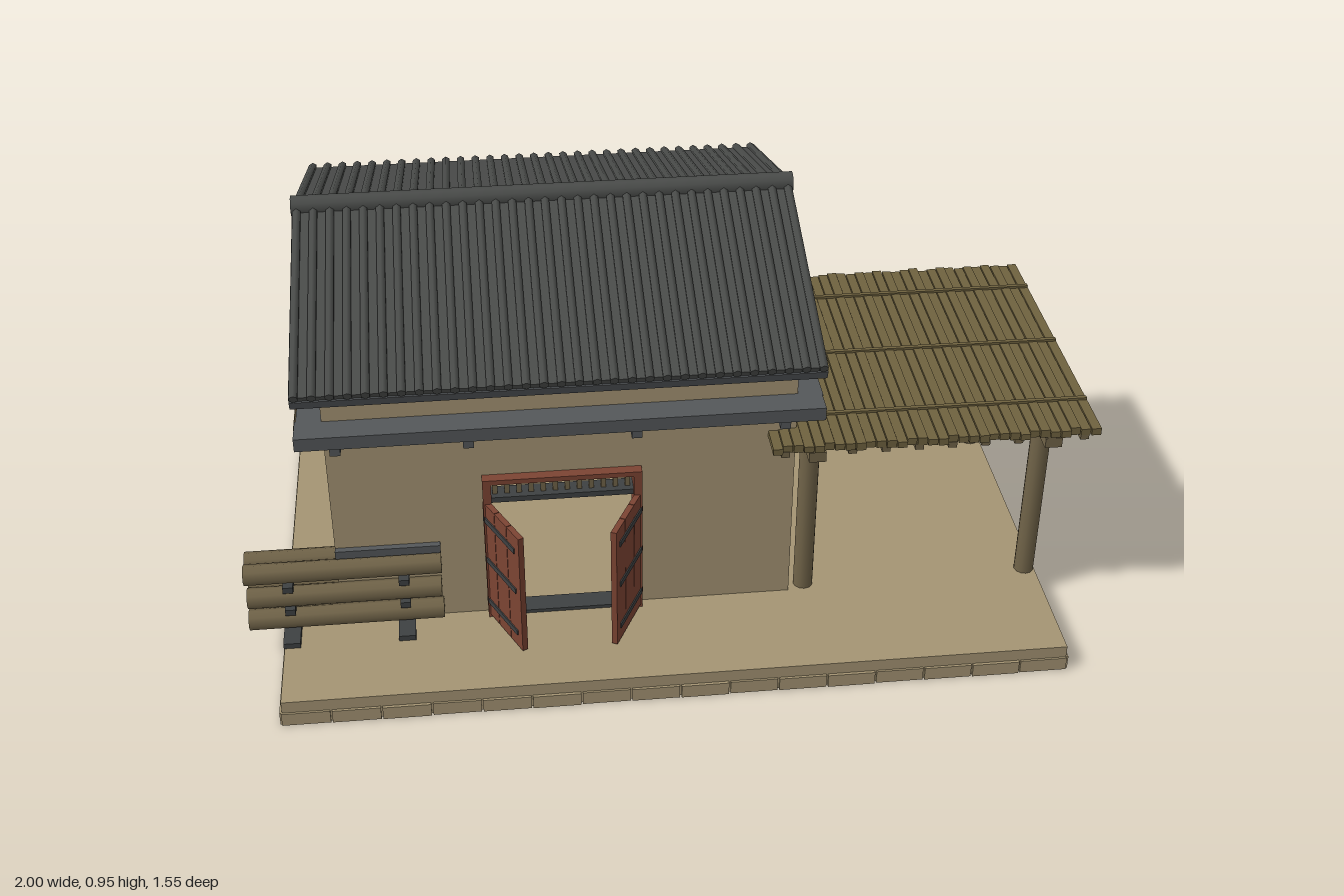
import * as THREE from 'three';

const mat = (name, color, extra = {}) => Object.assign(new THREE.MeshStandardMaterial({ color, ...extra }), { name });

export function createModel() {
  const root = new THREE.Group();
  root.name = 'storehouse';
  const plaster = mat('plaster', 0xa49473);
  const tile = mat('roofTile', 0x4a4c4a);
  const stone = mat('greyTrim', 0x54575a);
  const timber = mat('timber', 0x716449);
  const thatch = mat('awningWood', 0x6f623f);
  const red = mat('redWood', 0x7c4433);
  const iron = mat('iron', 0x3e4142);
  const ember = mat('ember', 0xcc561c);

  const group = (name, parent = root) => {
    const g = new THREE.Group();
    g.name = name;
    parent.add(g);
    return g;
  };
  const add = (parent, name, geo, m, x = 0, y = 0, z = 0) => {
    const mesh = new THREE.Mesh(geo, m);
    mesh.name = name;
    mesh.position.set(x, y, z);
    parent.add(mesh);
    return mesh;
  };
  // box given by its limits on each axis
  const box = (parent, name, m, x0, x1, y0, y1, z0, z1) =>
    add(parent, name, new THREE.BoxGeometry(x1 - x0, y1 - y0, z1 - z0), m, (x0 + x1) / 2, (y0 + y1) / 2, (z0 + z1) / 2);
  const rod = (parent, name, m, r, len, axis, x, y, z, sides = 8) => {
    const geo = new THREE.CylinderGeometry(r, r, len, sides);
    if (axis === 'x') geo.rotateZ(Math.PI / 2);
    if (axis === 'z') geo.rotateX(Math.PI / 2);
    return add(parent, name, geo, m, x, y, z);
  };
  const shape = pts => new THREE.Shape(pts.map(p => new THREE.Vector2(...p)));

  // Platform with a course of edge stones
  const base = group('platform');
  box(base, 'platformSlab', plaster, -0.918, 0.915, 0.001, 0.065, -0.765, 0.765);
  for (let i = 0; i < 16; i++) {
    const x = -0.92 + i * 0.115, d = 0.77 + (i % 3) * 0.001;
    for (const s of [-1, 1]) box(base, 'edgeStone', plaster, x, x + 0.111, 0, 0.034, s * d - 0.01, s * d);
  }
  for (let i = 0; i < 13; i++) {
    const z = -0.765 + i * 0.118;
    for (const s of [-0.917, 0.914]) box(base, 'edgeStone', plaster, s - 0.007, s + 0.007, 0, 0.034, z, z + 0.114);
  }

  // Hollow walls with a doorway and gables
  const house = group('house');
  const L = -0.785, R = 0.295, D = 0.49, F = 0.065, cx = (L + R) / 2;
  const front = shape([[L, F], [-0.435, F], [-0.435, 0.465], [-0.065, 0.465], [-0.065, F], [R, F], [R, 0.745], [L, 0.745]]);
  add(house, 'frontWall', new THREE.ExtrudeGeometry(front, { depth: 0.03, bevelEnabled: false }), plaster, 0, 0, D - 0.03);
  box(house, 'backWall', plaster, L, R, F, 0.745, -D, -D + 0.03);
  const gable = shape([[-D, F], [D, F], [D, 0.745], [0, 0.907], [-D, 0.745]]);
  for (const x of [L, R - 0.03]) {
    const geo = new THREE.ExtrudeGeometry(gable, { depth: 0.03, bevelEnabled: false });
    geo.rotateY(Math.PI / 2);
    add(house, 'gableWall', geo, plaster, x);
  }

  // Ledge around the walls, on brackets
  const ledge = group('ledge');
  for (const s of [-1, 1]) {
    box(ledge, 'longLedge', stone, -0.845, 0.35, 0.61, 0.643, s * 0.52 - 0.035, s * 0.52 + 0.035);
    for (const x of [-0.757, -0.46, -0.08, 0.26])
      box(ledge, 'bracket', stone, x - 0.012, x + 0.012, 0.585, 0.612, s * 0.515 - 0.03, s * 0.515 + 0.03);
    box(ledge, 'sideLedge', stone, cx + s * 0.567 - 0.03, cx + s * 0.567 + 0.03, 0.61, 0.643, -0.5, 0.5);
  }

  // Tiled roof, one group per slope
  const roof = group('roof');
  const mid = -0.2475, half = 0.5975;
  for (const s of [0, 1]) {
    const side = group(s ? 'backSlope' : 'frontSlope', roof);
    side.position.set(mid, 0.93, 0);
    side.rotation.set(0.318, s * Math.PI, 0, 'YXZ');
    box(side, 'tileBed', tile, -half, half, -0.02, 0, 0, 0.578);
    box(side, 'roofLining', red, -half + 0.015, half - 0.015, -0.03, -0.02, 0, 0.565);
    for (let i = 0; i < 31; i++)
      rod(side, 'tileRib', tile, 0.011, 0.583, 'z', -half + 0.011 + i * (2 * half - 0.022) / 30, 0.001, 0.2915, 6);
    box(side, 'eaveBoard', stone, -half, half, -0.034, -0.012, 0.555, 0.582);
    for (const e of [-1, 1]) box(side, 'vergeBoard', stone, e * (half - 0.008) - 0.008, e * (half - 0.008) + 0.008, -0.032, -0.01, 0, 0.578);
    for (const z of [0.18, 0.37, 0.53]) rod(side, 'purlin', timber, 0.014, 2 * half - 0.04, 'x', 0, -0.04, z);
    for (const x of [-0.51, -0.21, 0.17, 0.5]) box(side, 'rafterEnd', timber, x - 0.012, x + 0.012, -0.05, -0.025, 0.47, 0.55);
  }
  rod(roof, 'ridgePole', timber, 0.016, 1.15, 'x', mid, 0.895, 0);
  rod(roof, 'ridgeCap', tile, 0.025, 1.2, 'x', mid, 0.93, 0, 10);

  // Door frame, lattice and open leaves
  const door = group('doorway');
  for (const x of [-0.435, -0.085]) box(door, 'doorPost', red, x, x + 0.02, F, 0.465, 0.455, 0.515);
  box(door, 'lintel', red, -0.435, -0.065, 0.455, 0.468, 0.455, 0.515);
  box(door, 'transom', iron, -0.415, -0.085, 0.402, 0.416, 0.465, 0.51);
  box(door, 'sill', iron, -0.415, -0.085, F, 0.074, 0.46, 0.51);
  for (let i = 0; i < 12; i++) box(door, 'latticeBar', timber, -0.412 + i * 0.028, -0.4 + i * 0.028, 0.416, 0.455, 0.48, 0.495);
  for (const s of [-1, 1]) {
    const leaf = group(s > 0 ? 'leftDoorLeaf' : 'rightDoorLeaf', door);
    leaf.position.set(s > 0 ? -0.07 : -0.43, 0, 0.5);
    leaf.rotation.y = -s * 0.46;
    for (let i = 0; i < 3; i++) box(leaf, 'doorPlank', red, -0.007, 0.007, 0.073, 0.402, i * 0.057, i * 0.057 + 0.055);
    for (const y of [0.115, 0.24, 0.357]) box(leaf, 'hingeStrap', iron, -0.01, 0.01, y - 0.007, y + 0.007, 0.005, 0.15);
  }

  // Open awning on four posts
  const awning = group('awning');
  for (const x of [0.335, 0.89]) {
    for (const z of [0.465, -0.09]) {
      rod(awning, 'post', timber, 0.024, 0.435, 'y', x, 0.2825, z, 12);
      rod(awning, 'postCapital', timber, 0.028, 0.018, 'y', x, 0.488, z, 12);
    }
    box(awning, 'crossBeam', timber, x - 0.02, x + 0.02, 0.497, 0.523, -0.19, 0.56);
  }
  for (const z of [0.465, -0.09]) box(awning, 'longBeam', timber, 0.3, 0.995, 0.5, 0.524, z - 0.02, z + 0.02);
  for (let i = 0; i < 10; i++) box(awning, 'joist', timber, 0.25 + i * 0.078, 0.27 + i * 0.078, 0.515, 0.53, -0.195, 0.56);
  for (let i = 0; i < 32; i++) {
    const x = 0.23 + i * 0.77 / 32, h = 0.544 + (i % 3) * 0.002, e = (i * 7 % 4) * 0.003;
    box(awning, 'slat', thatch, x, x + 0.0225, 0.528, h, -0.2 + e, 0.567 - e);
  }
  for (const z of [-0.08, 0.18, 0.44]) box(awning, 'batten', thatch, 0.232, 0.998, 0.546, 0.552, z - 0.005, z + 0.005);

  // Cart with a tilted arm
  const cart = group('cart');
  cart.position.set(0.557, 0, -0.405);
  cart.rotation.y = 0.51;
  box(cart, 'cartBed', timber, -0.185, 0.185, 0.132, 0.142, -0.1, 0.1);
  box(cart, 'cartDeck', timber, -0.175, 0.175, 0.142, 0.2, -0.09, 0.09);
  for (const s of [-1, 1]) {
    box(cart, 'sideBoard', timber, -0.185, 0.185, 0.135, 0.21, s * 0.095 - 0.008, s * 0.095 + 0.008);
    rod(cart, 'wheel', iron, 0.037, 0.022, 'z', 0.115, 0.102, s * 0.095, 14);
    rod(cart, 'hub', stone, 0.013, 0.03, 'z', 0.115, 0.102, s * 0.095, 8);
    box(cart, 'bracketBlock', iron, -0.035, 0.035, 0.2, 0.235, s * 0.032 - 0.01, s * 0.032 + 0.01);
  }
  rod(cart, 'axle', timber, 0.009, 0.2, 'z', 0.115, 0.102, 0);
  box(cart, 'frontSupport', iron, -0.17, -0.1, F, 0.135, -0.035, 0.035);
  box(cart, 'windlassBar', stone, -0.012, 0.012, 0.225, 0.24, -0.06, 0.06);
  const arm = add(cart, 'arm', new THREE.BoxGeometry(0.48, 0.022, 0.034), timber, 0, 0.252, 0);
  arm.rotation.z = 0.25;

  // Stack of logs beside the door
  const logs = group('logStack');
  for (const [j, y] of [0.102, 0.167, 0.237].entries())
    for (const z of [0.462, 0.51])
      rod(logs, 'log', timber, 0.025, 0.455 + (j === 1 ? 0 : 0.005), 'x', -0.77, y, z, 8);
  for (const x of [-0.9, -0.63]) {
    box(logs, 'skid', iron, x - 0.02, x + 0.02, F, 0.079, 0.43, 0.58);
    for (const y of [0.135, 0.202]) box(logs, 'spacer', iron, x - 0.012, x + 0.012, y - 0.008, y + 0.008, 0.435, 0.535);
  }
  box(logs, 'topBar', stone, -0.785, -0.54, 0.262, 0.283, 0.485, 0.505);

  // Octagonal furnace with a glowing dome
  const furnace = group('furnace');
  furnace.position.set(-0.82, 0, -0.37);
  const oct = new THREE.CylinderGeometry(0.088, 0.132, 0.19, 8);
  oct.rotateY(Math.PI / 8);
  const tub = mat('furnaceWood', 0x6a5d43, { flatShading: true });
  add(furnace, 'furnaceBody', oct, tub, 0, 0.16, 0);
  rod(furnace, 'furnaceRim', iron, 0.075, 0.012, 'y', 0, 0.259, 0, 16);
  add(furnace, 'emberDome', new THREE.SphereGeometry(0.055, 14, 6, 0, Math.PI * 2, 0, Math.PI / 2), ember, 0, 0.262, 0).scale.y = 1.2;
  for (let i = 0; i < 3; i++) {
    const rib = add(furnace, 'domeRib', new THREE.TorusGeometry(0.056, 0.003, 4, 16, Math.PI), ember, 0, 0.262, 0);
    rib.rotation.y = i * Math.PI / 3;
    rib.scale.y = 1.2;
  }
  box(furnace, 'toolPost', iron, -0.04, -0.025, F, 0.28, 0.1, 0.112);
  box(furnace, 'toolArm', iron, -0.04, 0.04, 0.27, 0.284, 0.1, 0.112);

  return root;
}
